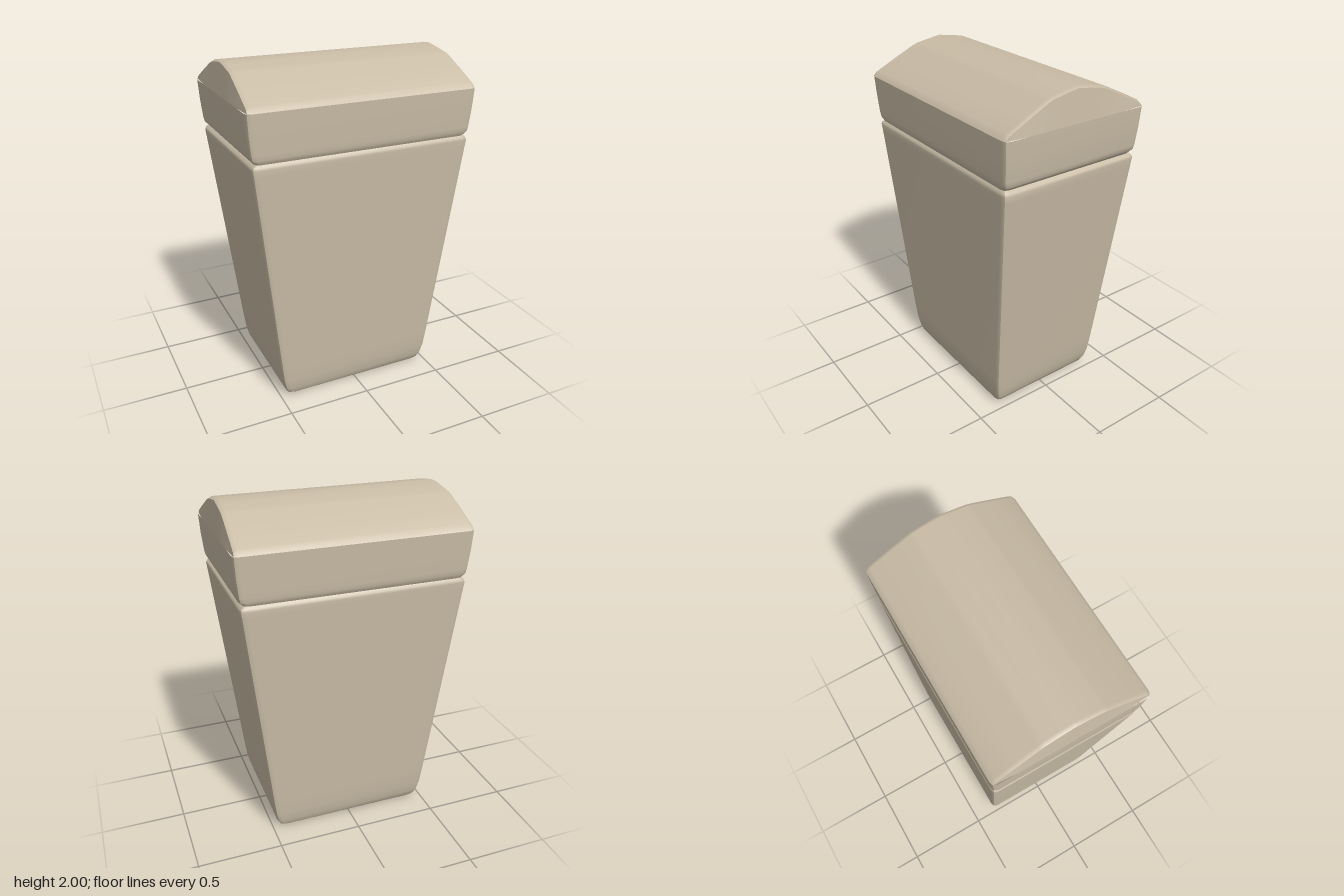
import * as THREE from 'three';
import { mergeGeometries } from 'three/addons/utils/BufferGeometryUtils.js';

const EDGE = 0.03, CUT = 0.008; // soft vertical corners

// Smooth panel from rows of points; columns x rows points outward
function panel(rows) {
  const n = rows[0].length, index = [];
  for (let r = 0; r < rows.length - 1; r++) {
    for (let c = 0; c < n - 1; c++) {
      const a = r * n + c, b = a + n;
      index.push(a, a + 1, b + 1, a, b + 1, b);
    }
  }
  const g = new THREE.BufferGeometry();
  g.setAttribute('position', new THREE.Float32BufferAttribute(rows.flat(2), 3));
  g.setIndex(index);
  g.computeVertexNormals();
  return g;
}

const turned = (g) => g.clone().rotateY(Math.PI);
const span = (h) => [-h + CUT, -h + EDGE, h - EDGE, h - CUT];
const isEnd = (i) => i === 0 || i === 3;

// Four tapered walls following a profile of [y, half width, half depth]
function walls(profile) {
  const front = panel(profile.map(([y, w, d]) =>
    span(w).map((x, i) => [x, y, isEnd(i) ? d - CUT : d])));
  const side = panel(profile.map(([y, w, d]) =>
    span(d).map((z, i) => [isEnd(i) ? w - CUT : w, y, -z])));
  return [front, turned(front), side, turned(side)];
}

export function createModel() {
  const group = new THREE.Group();
  const material = new THREE.MeshStandardMaterial({ color: 0xc9bca6 });
  const add = (name, parts) => {
    const mesh = new THREE.Mesh(mergeGeometries(parts), material);
    mesh.name = name;
    group.add(mesh);
  };

  // Tapered bin with a rounded foot and the lower half of the groove
  const bodyProfile = [
    [0.01, 0.435, 0.33], [0.025, 0.458, 0.345], [0.06, 0.475, 0.356],
    [0.12, 0.49, 0.366], [0.22, 0.503, 0.373], [1.47, 0.65, 0.441],
    [1.51, 0.655, 0.444], [1.525, 0.65, 0.441], [1.537, 0.632, 0.43],
  ];
  const [y0, w0, d0] = bodyProfile[0];
  const base = panel(span(d0).map((z, r) => span(w0).map((x, c) => [
    isEnd(c) && !isEnd(r) ? Math.sign(x) * w0 : x,
    isEnd(c) || isEnd(r) ? y0 : 0,
    isEnd(r) && !isEnd(c) ? Math.sign(z) * d0 : z,
  ])));
  add('binBody', [...walls(bodyProfile), base]);

  // Lid sides, flaring up from the groove
  const lidProfile = [
    [1.537, 0.632, 0.43], [1.548, 0.642, 0.436], [1.562, 0.655, 0.442],
    [1.59, 0.661, 0.445], [1.7, 0.672, 0.451], [1.812, 0.678, 0.456],
  ];
  const [yTop, w, d] = lidProfile[lidProfile.length - 1];

  // Arched lid top, front to back
  const half = [[d, yTop], [0.43, 1.845], [0.31, 1.905], [0.19, 1.962], [0.16, 1.973], [0.08, 1.988]];
  const arch = [...half, [0, 2], ...half.map(([z, y]) => [-z, y]).reverse()];
  const roofRow = ([z, y]) => {
    const lift = (y - yTop) / (2 - yTop);
    return span(w - 0.01 * lift).map((x, i) => [
      x,
      y - (isEnd(i) ? Math.min(0.012, y - yTop) : 0),
      isEnd(i) ? THREE.MathUtils.clamp(z, CUT - d, d - CUT) : z,
    ]);
  };
  const roofRows = arch.map(roofRow);

  // End wall below the arch
  const rim = roofRows.map((row) => row[3]);
  const foot = rim.map(([, , z]) => [Math.abs(z) > d - EDGE ? w - CUT : w, yTop, z]);
  const end = panel([foot, rim]);
  add('lid', [...walls(lidProfile), panel(roofRows), end, turned(end)]);

  return group;
}
